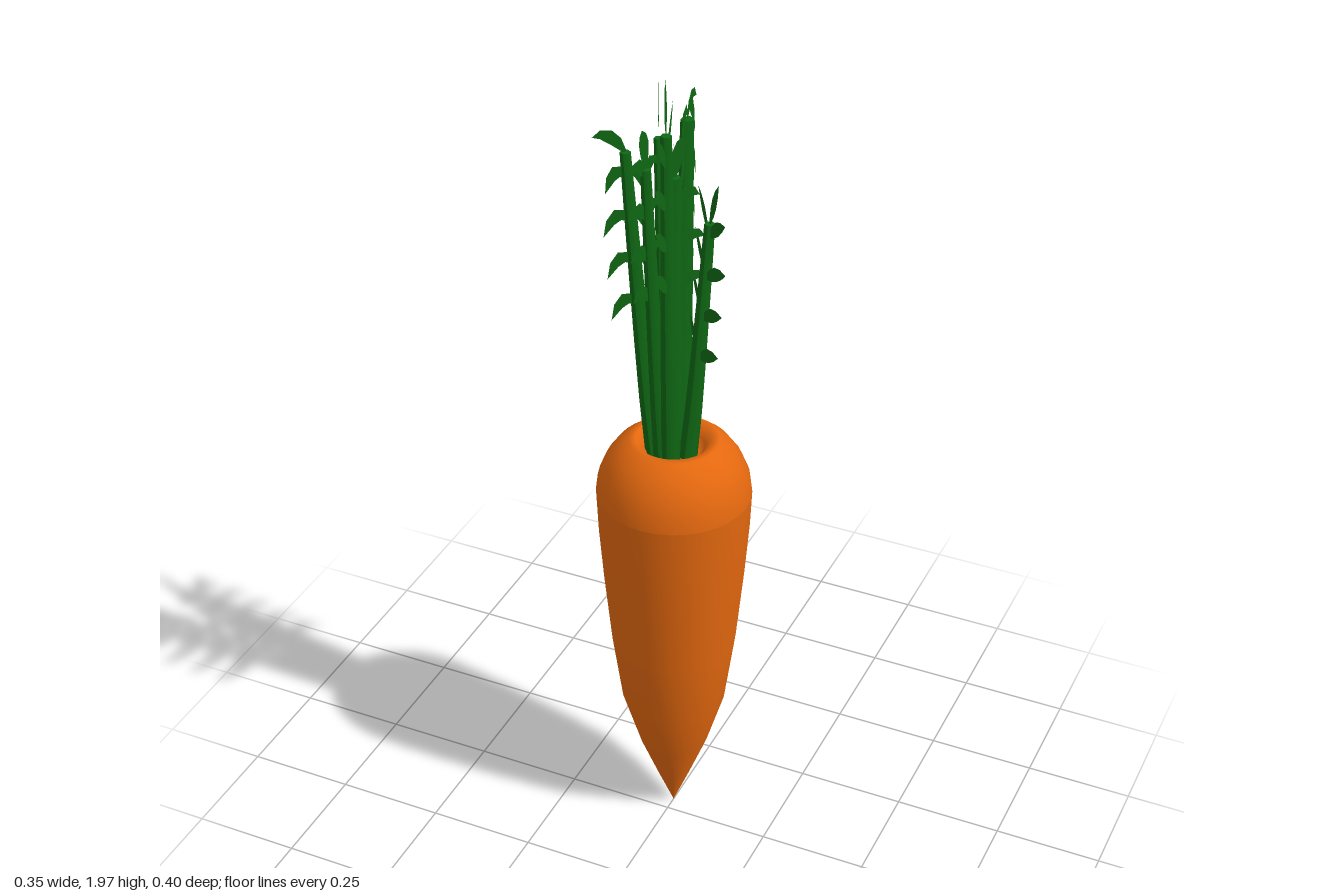
import * as THREE from 'three';

const orange = new THREE.MeshStandardMaterial({ color: 0xe4680f });
orange.name = 'carrot orange';
const green = new THREE.MeshStandardMaterial({ color: 0x0f6814, side: THREE.DoubleSide });
green.name = 'leaf green';

const CX = 0, CZ = -0.035;      // axis of the root
const BASE_Y = 1.04;            // where the stalks leave the root

function part(name, geometry, material) {
  const mesh = new THREE.Mesh(geometry, material);
  mesh.name = name;
  return mesh;
}

function lathe(name, profile) {
  const geometry = new THREE.LatheGeometry(profile.map(([r, y]) => new THREE.Vector2(r, y)), 32);
  geometry.translate(CX, 0, CZ);
  return part(name, geometry, orange);
}

// Point on a leaning stalk at height y
function stalkPoint(s, y) {
  const t = (y - BASE_Y) / (s.top[1] - BASE_Y);
  const k = 0.42 + 0.58 * Math.pow(Math.max(t, 0), 0.85);
  return new THREE.Vector3(CX + (s.top[0] - CX) * k, y, CZ + (s.top[2] - CZ) * k);
}

// Tapered six-sided stalk, sheared so that it follows stalkPoint
function stalk(s) {
  const h = s.top[1] - BASE_Y;
  const geometry = new THREE.CylinderGeometry(s.r * 0.55, s.r, h, 6, 5);
  geometry.translate(0, BASE_Y + h / 2, 0);
  const pos = geometry.attributes.position;
  for (let i = 0; i < pos.count; i++) {
    const c = stalkPoint(s, pos.getY(i));
    pos.setX(i, pos.getX(i) + c.x);
    pos.setZ(i, pos.getZ(i) + c.z);
  }
  geometry.computeVertexNormals();
  return part('stalk', geometry, green);
}

// Flat pointed leaf, curving in the upright plane of direction dir
function leaf(start, dir, reach, rise, droop, width) {
  const widths = [0.25, 0.85, 1, 0.7, 0];
  const verts = [], index = [];
  widths.forEach((w, i) => {
    const t = i / (widths.length - 1);
    const out = reach * t, up = rise * t - droop * t * t;
    const slope = rise - 2 * droop * t;
    const len = Math.hypot(reach, slope) || 1;
    for (const side of [-1, 1]) {
      const o = out - side * w * width * slope / len;
      const u = up + side * w * width * reach / len;
      verts.push(start.x + dir[0] * o, start.y + u, start.z + dir[1] * o);
    }
    if (i) {
      const a = 2 * i - 2;
      index.push(a, a + 2, a + 1, a + 1, a + 2, a + 3);
    }
  });
  const geometry = new THREE.BufferGeometry();
  geometry.setAttribute('position', new THREE.Float32BufferAttribute(verts, 3));
  geometry.setIndex(index);
  geometry.computeVertexNormals();
  return part('leaf', geometry, green);
}

// One stalk with pairs of leaves and an end leaf
function frond(s) {
  const group = new THREE.Group();
  group.name = s.name;
  group.add(stalk(s));
  const n = Math.hypot(...s.dir);
  const dir = s.dir.map(v => v / n);
  const back = dir.map(v => -v);
  for (let i = 0; i < s.count; i++) {
    const p = stalkPoint(s, s.low + i * 0.1);
    const shrink = i === s.count - 1 ? 0.8 : 1;
    group.add(leaf(p, dir, s.reach * shrink, s.rise, s.droop, 0.015));
    group.add(leaf(p, back, s.reach * 0.55, s.rise, s.droop, 0.013));
  }
  const end = new THREE.Vector3(...s.top);
  group.add(leaf(end, dir, s.endReach, s.endRise, s.droop * 0.6, 0.014));
  return group;
}

export function createModel() {
  const model = new THREE.Group();
  model.name = 'carrot';

  // Root: long tapering body, rounded shoulder and the pit round the stalks
  model.add(lathe('rootBody', [
    [0, 0.03], [0.04, 0.13], [0.08, 0.235], [0.12, 0.37], [0.143, 0.54],
    [0.16, 0.72], [0.17, 0.85], [0.174, 0.94],
  ]));
  model.add(lathe('rootShoulder', [
    [0.174, 0.94], [0.169, 0.98], [0.153, 1.02], [0.13, 1.053], [0.1, 1.077],
    [0.085, 1.078], [0.068, 1.06], [0.055, 1.035], [0, 1.03],
  ]));

  // Leafy top: upright fronds at front and right, drooping ones elsewhere
  const fronds = [
    { name: 'frontLeftFrond', top: [0.03, 1.87, 0.072], r: 0.021, dir: [0.25, 0.97], low: 1.5,
      count: 4, reach: 0.135, rise: 0.11, droop: 0, endReach: 0.01, endRise: 0.13 },
    { name: 'frontRightFrond', top: [-0.02, 1.78, 0.062], r: 0.02, dir: [-0.3, 0.95], low: 1.46,
      count: 4, reach: 0.06, rise: 0.12, droop: 0.1, endReach: 0.01, endRise: 0.15 },
    { name: 'leftFrond', top: [0.08, 1.63, -0.035], r: 0.021, dir: [0.65, 0.76], low: 1.3,
      count: 4, reach: 0.14, rise: 0.1, droop: 0.02, endReach: 0.06, endRise: 0.13 },
    { name: 'rightFrond', top: [-0.09, 1.78, 0.01], r: 0.021, dir: [-0.75, 0.66], low: 1.42,
      count: 4, reach: 0.06, rise: 0.1, droop: 0.13, endReach: 0.07, endRise: 0.12 },
    { name: 'backFrond', top: [-0.003, 1.82, -0.105], r: 0.026, dir: [-0.15, -1], low: 1.43,
      count: 5, reach: 0.075, rise: 0.11, droop: 0.18, endReach: 0.07, endRise: 0.13 },
    { name: 'backRightFrond', top: [-0.055, 1.78, -0.075], r: 0.017, dir: [-0.4, -0.9], low: 1.45,
      count: 4, reach: 0.06, rise: 0.11, droop: 0.05, endReach: 0.05, endRise: 0.16 },
    { name: 'middleFrond', top: [0, 1.72, -0.035], r: 0.024, dir: [0.7, -0.7], low: 1.45,
      count: 3, reach: 0.07, rise: 0.1, droop: 0.08, endReach: 0.02, endRise: 0.14 },
  ];
  for (const s of fronds) model.add(frond(s));
  return model;
}
